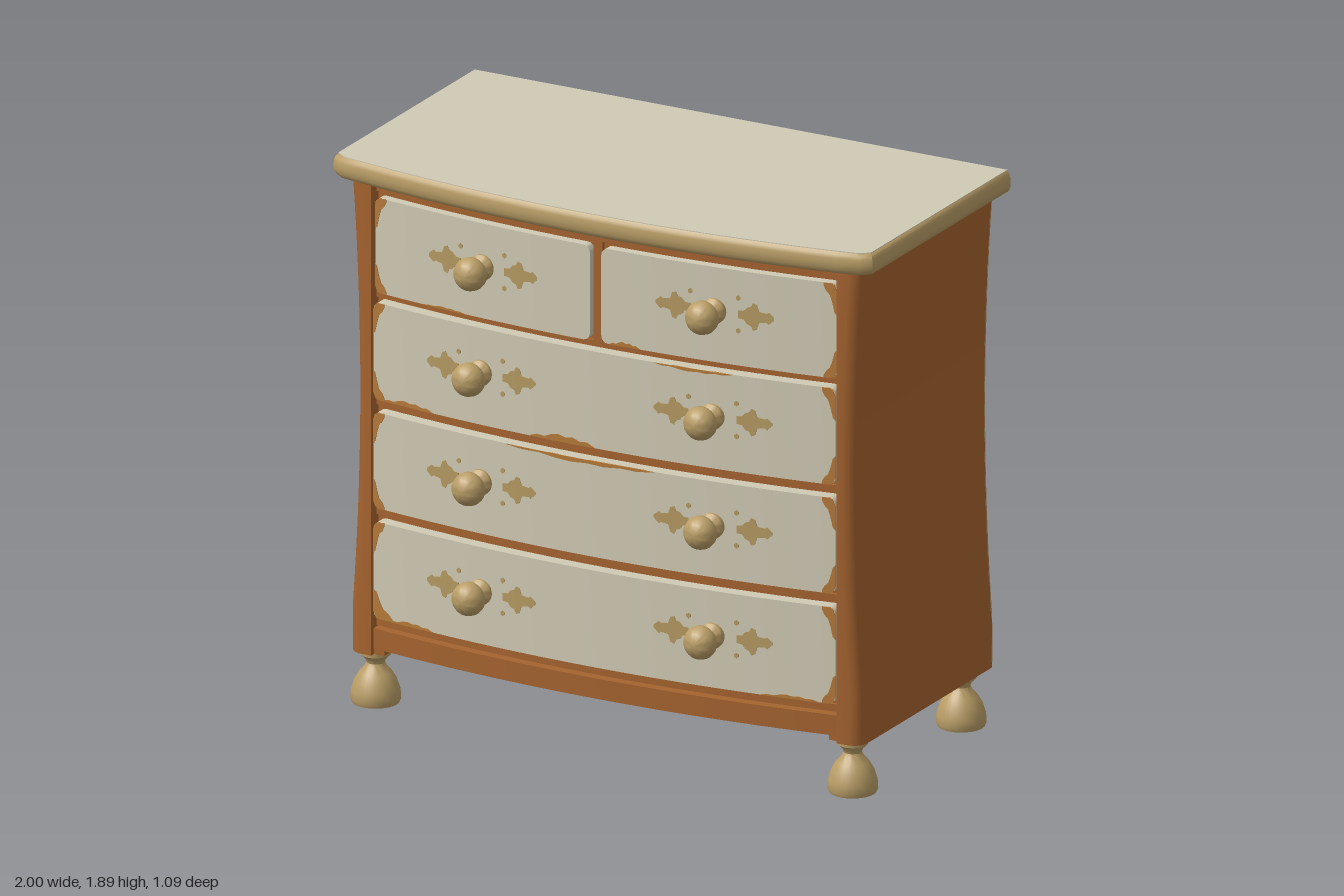
import * as THREE from 'three';
import { toCreasedNormals } from 'three/addons/utils/BufferGeometryUtils.js';

const mat = (name, color) => {
  const m = new THREE.MeshStandardMaterial({ color });
  m.name = name;
  return m;
};

// Solid through a row of convex cross-sections, capped at both ends
function loft(rings, crease = 0.6) {
  const n = rings[0].length, pos = rings.flat(2), idx = [];
  for (let r = 0; r < rings.length - 1; r++) {
    for (let i = 0; i < n; i++) {
      const a = r * n + i, b = r * n + (i + 1) % n;
      idx.push(a, b, a + n, b, b + n, a + n);
    }
  }
  const end = (rings.length - 1) * n;
  for (let i = 1; i < n - 1; i++) idx.push(0, i + 1, i, end, end + i, end + i + 1);
  // Turn the faces outward if the rings run the other way
  const v = (k) => new THREE.Vector3(pos[k * 3], pos[k * 3 + 1], pos[k * 3 + 2]);
  let volume = 0;
  for (let i = 0; i < idx.length; i += 3) {
    volume += v(idx[i]).dot(v(idx[i + 1]).cross(v(idx[i + 2])));
  }
  if (volume < 0) idx.reverse();
  const g = new THREE.BufferGeometry();
  g.setAttribute('position', new THREE.Float32BufferAttribute(pos, 3));
  g.setIndex(idx);
  return toCreasedNormals(g, crease);
}

// Shared curves: bowed front and waisted sides
const bow = (x) => 0.435 - 0.07 * (x / 0.86) ** 2;
const sideX = (y) => Math.min(0.95, 0.95 - 0.027 * (1 - ((y - 1.08) / 0.73) ** 2));
const steps = (a, b, n) => Array.from({ length: n + 1 }, (_, i) => a + (b - a) * i / n);

// Plate following the bow, from columns of [x, low y, high y]
const bowed = (cols, front, back) => loft(cols.map(([x, lo, hi]) => [
  [x, lo, bow(x) + back], [x, lo, bow(x) + front], [x, hi, bow(x) + front], [x, hi, bow(x) + back],
]));
const strip = (x0, x1, y0, y1, front, back) =>
  bowed(steps(x0, x1, 24).map((x) => [x, y0, y1]), front, back);

export function createModel() {
  const model = new THREE.Group();
  const brown = mat('brown wood', 0xa5632f);
  const tan = mat('tan wood', 0xb99d66);
  const cream = mat('cream paint', 0xd0cab4);
  const worn = mat('worn edge', 0xb57a3a);
  const motif = mat('faded motif', 0xb59a62);
  const add = (name, geo, material, parent = model) => {
    const m = new THREE.Mesh(geo, material);
    m.name = name;
    parent.add(m);
    return m;
  };

  // Carcass with bowed front
  add('carcass', loft(steps(-0.866, 0.866, 28).map((x) => [
    [x, 0.2, -0.508], [x, 0.2, bow(x) - 0.045], [x, 1.812, bow(x) - 0.045], [x, 1.812, -0.508],
  ])), brown);

  // Side panels with rounded front posts, and runners beneath
  for (const s of [1, -1]) {
    add('sidePanel', loft(steps(0.18, 1.812, 20).map((y) => {
      const X = sideX(y);
      return [[0.864, -0.51], [X, -0.51], [X, 0.325], [X - 0.006, 0.345], [X - 0.02, 0.36],
        [X - 0.04, 0.368], [0.864, 0.37]].map(([x, z]) => [s * x, y, z]);
    })), brown);
    add('baseRunner', new THREE.BoxGeometry(0.05, 0.03, 0.86), brown).position.set(s * 0.85, 0.195, -0.08);
  }

  // Back panel
  add('backPanel', loft(steps(0.2, 1.812, 20).map((y) => {
    const X = sideX(y);
    return [[-X, y, -0.514], [X, y, -0.514], [X, y, -0.507], [-X, y, -0.507]];
  })), tan);

  // Rails, divider and apron
  for (const [y0, y1] of [[1.77, 1.79], [1.405, 1.425], [1.035, 1.055], [0.657, 0.679], [0.275, 0.3]]) {
    add('rail', strip(-0.865, 0.865, y0, y1, -0.033, -0.06), brown);
  }
  add('divider', strip(-0.02, 0.014, 1.41, 1.78, -0.033, -0.06), brown);
  add('apron', strip(-0.866, 0.866, 0.2, 0.27, -0.012, -0.06), brown);

  // Tabletop with bulging edge and painted surface
  const outline = (y, inset) => {
    const front = steps(0.965, -0.965, 24).map((x) => [x, 0.49 - 0.09 * (x / 0.97) ** 2]);
    return [[-1, 0.375], [-1, -0.545], [1, -0.545], [1, 0.375], ...front]
      .map(([x, z]) => [x * (1 - inset), y, z > 0 ? z - inset : z]);
  };
  add('tabletop', loft([[1.81, 0.022], [1.818, 0.008], [1.832, 0.001], [1.85, 0], [1.868, 0.001],
    [1.88, 0.005], [1.888, 0.012]].map(([y, i]) => outline(y, i)), 0.75), tan);
  add('tabletopPaint', loft([outline(1.886, 0.012), outline(1.891, 0.012)]), cream);

  // Turned knob and bun foot
  const lathe = (pts, seg) => toCreasedNormals(
    new THREE.LatheGeometry(pts.map(([r, y]) => new THREE.Vector2(r, y)), seg), 0.7);
  const knobGeo = lathe([[0, -0.01], [0.042, -0.01], [0.044, 0.012], [0.036, 0.022], [0.025, 0.032],
    [0.026, 0.045], [0.044, 0.053], [0.055, 0.068], [0.057, 0.083], [0.052, 0.102], [0.038, 0.117],
    [0.02, 0.126], [0, 0.129]], 28).rotateX(Math.PI / 2);
  const footGeo = lathe([[0, 0], [0.078, 0], [0.083, 0.012], [0.081, 0.04], [0.07, 0.075], [0.054, 0.102],
    [0.036, 0.122], [0.03, 0.135], [0.034, 0.148], [0.05, 0.163], [0.051, 0.182], [0, 0.182]], 28);
  for (const x of [-0.885, 0.885]) {
    for (const z of [0.3, -0.423]) add('foot', footGeo, tan).position.set(x, 0, z);
  }

  // Half-heights of a painted motif by distance from its knob
  const lobe = [[0.085, 0.014], [0.105, 0.016], [0.116, 0.03], [0.13, 0.035], [0.137, 0.05],
    [0.15, 0.045], [0.158, 0.02], [0.185, 0.016], [0.192, 0.022], [0.21, 0.005]];
  const jag = [0.1, 0.45, 0.35, 0.8, 1, 0.7, 0.9, 0.5, 0.6, 0.1];

  // Drawers: x range, y range, setback, knob positions, worn chips [x0, x1, height, at top]
  const drawers = [
    [-0.857, -0.022, 1.43, 1.757, -0.012, [-0.43], [[-0.66, -0.5, 0.008, 0]]],
    [0.02, 0.857, 1.43, 1.757, -0.012, [0.43], [[0.05, 0.16, 0.016, 0]]],
    [-0.857, 0.857, 1.067, 1.4, 0, [-0.43, 0.43], [[-0.24, 0, 0.025, 0], [-0.82, -0.62, 0.018, 0], [0.22, 0.5, 0.012, 1]]],
    [-0.857, 0.857, 0.692, 1.022, 0, [-0.43, 0.43], [[-0.33, 0.22, 0.016, 1]]],
    [-0.857, 0.857, 0.312, 0.645, 0, [-0.43, 0.43], [[-0.8, -0.62, 0.015, 0], [0.6, 0.8, 0.012, 0]]],
  ];
  drawers.forEach(([x0, x1, y0, y1, dz, knobs, chips], row) => {
    const g = new THREE.Group();
    g.name = 'drawer';
    g.position.z = dz;
    model.add(g);
    const R = 0.025;
    const round = (x) => {
      const d = Math.min(R, Math.max(0, Math.min(x - x0, x1 - x)));
      return R - Math.sqrt(R * R - (R - d) ** 2);
    };
    const corner = [0, 0.002, 0.007, 0.015];
    const xs = [...corner.map((d) => x0 + d), ...steps(x0 + R, x1 - R, 22),
      ...corner.map((d) => x1 - d).reverse()];
    add('drawerFront', bowed(xs.map((x) => [x, y0 + round(x), y1 - round(x)]), 0, -0.05), cream, g);

    // Worn edges and corners
    for (const [a, b, h, top] of chips) {
      add('wornEdge', bowed(steps(a, b, 9).map((x, i) => top
        ? [x, y1 - h * jag[i], y1] : [x, y0, y0 + h * jag[i]]), 0.002, -0.004), worn, g);
    }
    for (const end of [1, -1]) {
      if ((row === 0 && end > 0) || (row === 1 && end < 0)) continue;
      for (const top of [0, 1]) {
        const big = row === 4 && end < 0 && !top ? 1.7 : 1;
        const cols = [[0, 0.11], [0.008, 0.1], [0.016, 0.065], [0.024, 0.04], [0.036, 0.028], [0.045, 0.01]]
          .map(([d, h]) => {
            const x = end > 0 ? x1 - d * big : x0 + d * big, r = round(x);
            return top ? [x, y1 - Math.max(h, r + 0.003), y1 - r]
              : [x, y0 + r, y0 + Math.max(h * 0.9, r + 0.003)];
          });
        add('wornCorner', bowed(cols, 0.0025, -0.004), worn, g);
      }
    }

    // Knobs with a painted motif on either side
    const yc = (y0 + y1) / 2 + 0.014;
    for (const kx of knobs) {
      add('knob', knobGeo, tan, g).position.set(kx, yc, bow(kx));
      for (const s of [1, -1]) {
        add('motif', bowed(lobe.map(([d, h]) => [kx + s * d, yc - h, yc + h * 0.9]), 0.002, -0.004), motif, g);
        for (const v of [-0.058, 0.055]) {
          const dot = [0.077, 0.085, 0.093].map((d, i) =>
            [kx + s * d, yc + v - [0.004, 0.01, 0.004][i], yc + v + [0.004, 0.01, 0.004][i]]);
          add('motifDot', bowed(dot, 0.002, -0.004), motif, g);
        }
      }
    }
  });
  return model;
}
